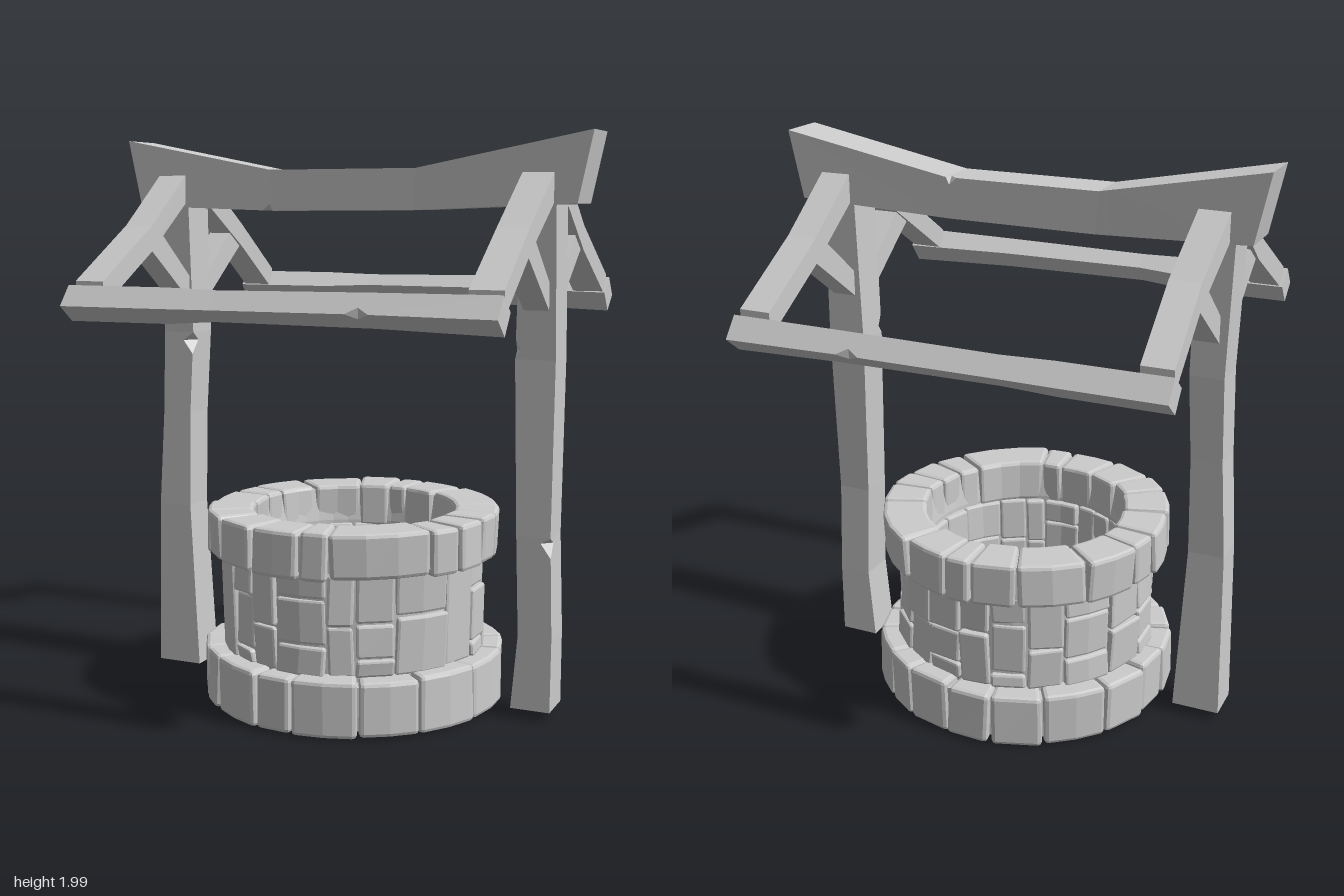
import * as THREE from 'three';

const material = new THREE.MeshStandardMaterial({ color: 0xcccccc, flatShading: true });
const DEG = Math.PI / 180;

let seed = 7;
const rand = () => (seed = (seed * 16807) % 2147483647) / 2147483647;
const jitter = (amount) => (rand() - 0.5) * 2 * amount;

function addMesh(parent, name, geometry) {
  const mesh = new THREE.Mesh(geometry, material);
  mesh.name = name;
  parent.add(mesh);
  return mesh;
}

// Rectangular timber lofted through sections [s, u0, u1, v0, v1];
// nicks [s, corner, depth, halfLength] chop notches out of its edges.
function beam(parent, name, sections, place, nicks = []) {
  const at = (s) => {
    let i = 0;
    while (i < sections.length - 2 && s > sections[i + 1][0]) i++;
    const a = sections[i], b = sections[i + 1], t = (s - a[0]) / (b[0] - a[0]);
    return a.map((v, k) => v + (b[k] - v) * t);
  };
  const stations = sections.map((r) => [r, -1, 0]);
  for (const [s, corner, depth, half] of nicks) {
    stations.push([at(s - half), -1, 0], [at(s), corner, depth], [at(s + half), -1, 0]);
  }
  stations.sort((a, b) => a[0][0] - b[0][0]);

  // Each corner is a pair of points that separate where a notch is cut
  const rings = stations.map(([[s, u0, u1, v0, v1], nick, depth]) => {
    const c = [[u0, v0], [u1, v0], [u1, v1], [u0, v1]];
    const ring = [];
    c.forEach((p, k) => {
      for (const q of [c[(k + 3) % 4], c[(k + 1) % 4]]) {
        const len = Math.hypot(q[0] - p[0], q[1] - p[1]);
        const f = k === nick ? depth / len : 0;
        ring.push(new THREE.Vector3(...place(s, p[0] + (q[0] - p[0]) * f, p[1] + (q[1] - p[1]) * f)));
      }
    });
    return ring;
  });

  const tris = [];
  const tri = (a, b, c) => {
    const area = b.clone().sub(a).cross(c.clone().sub(a)).length();
    if (area > 1e-8) tris.push([a, b, c]);
  };
  for (let i = 0; i < rings.length - 1; i++) {
    for (let k = 0; k < 8; k++) {
      const n = (k + 1) % 8, A = rings[i], B = rings[i + 1];
      tri(A[k], A[n], B[n]);
      tri(A[k], B[n], B[k]);
    }
  }
  const first = rings[0], last = rings[rings.length - 1];
  for (let k = 1; k < 7; k++) {
    tri(first[0], first[k + 1], first[k]);
    tri(last[0], last[k], last[k + 1]);
  }
  // Keep faces pointing outwards whatever the placement rule
  let volume = 0;
  for (const [a, b, c] of tris) volume += a.dot(b.clone().cross(c));
  const points = tris.flatMap(([a, b, c]) => (volume < 0 ? [a, c, b] : [a, b, c]));
  const geometry = new THREE.BufferGeometry().setFromPoints(points);
  geometry.computeVertexNormals();
  return addMesh(parent, name, geometry);
}

// Bevelled block bent around the well; angles in degrees from +z towards +x
function stone(parent, name, a0, a1, r0, r1, y0, y1, bevel) {
  const rm = (r0 + r1) / 2, mid = ((a0 + a1) / 2) * DEG, gap = 0.003;
  const half = [((a1 - a0) * DEG * rm) / 2 - gap, (y1 - y0) / 2 - gap, (r1 - r0) / 2];
  const segs = [Math.max(1, Math.round((a1 - a0) / 14)) + 2, 3, 3];
  const geometry = new THREE.BoxGeometry(1, 1, 1, ...segs);
  const pos = geometry.attributes.position;
  const twist = jitter(0.006), lean = jitter(0.005), skew = jitter(0.006);
  const v = new THREE.Vector3();
  for (let i = 0; i < pos.count; i++) {
    v.fromBufferAttribute(pos, i);
    const index = v.toArray().map((c, k) => Math.round((c + 0.5) * segs[k]));
    const out = new THREE.Vector3(...index.map((n, k) => (n === 0 ? -1 : n === segs[k] ? 1 : 0)));
    out.normalize().multiplyScalar(bevel);
    const inner = index.map((n, k) => {
      const t = (THREE.MathUtils.clamp(n, 1, segs[k] - 1) - 1) / (segs[k] - 2);
      return (half[k] - bevel) * (2 * t - 1);
    });
    v.set(...inner).add(out);
    const sx = v.x / half[0], sy = v.y / half[1];
    const r = rm + v.z + twist * sx + lean * sy;
    const angle = mid + (v.x + skew * sy * 0.5) / rm;
    pos.setXYZ(i, r * Math.sin(angle), (y0 + y1) / 2 + v.y, r * Math.cos(angle));
  }
  geometry.computeVertexNormals();
  addMesh(parent, name, geometry);
}

// Calls fn with the start and end of every arc between the joints of a ring
const eachArc = (joints, fn) =>
  joints.forEach((a, i) => fn(a, i + 1 < joints.length ? joints[i + 1] : joints[0] + 360, i));

function buildWell() {
  const well = new THREE.Group();
  well.name = 'stoneWell';

  const baseJoints = [-170, -150, -125, -105, -88, -70, -53, -40, -15, 0, 25, 48, 74, 101, 117, 138, 153, 172];
  eachArc(baseJoints, (a, b) =>
    stone(well, 'baseStone', a, b, 0.36 + jitter(0.006), 0.538 + jitter(0.007), 0.003 + rand() * 0.008, 0.205 + jitter(0.005), 0.014));

  // Wall columns, each split into courses of different heights
  const wallJoints = [-172, -156, -140, -118, -98, -80, -58, -37, -24, -11, 12, 24, 41, 66, 84, 100, 122, 140, 157, 174];
  const courses = [[0.37], [0.26, 0.38], [0.4], [], [0.25, 0.44], [0.35], [0.3, 0.46]];
  eachArc(wallJoints, (a, b, i) => {
    const levels = [0.195, ...courses[(i + 4) % courses.length], 0.55];
    for (let k = 0; k < levels.length - 1; k++) {
      stone(well, 'wallStone', a, b, 0.342 + jitter(0.008), 0.47 + jitter(0.008), levels[k], levels[k + 1], 0.009);
    }
  });

  const rimJoints = [-178, -160, -133, -110, -97, -75, -54, -39, -19, 2, 14, 54, 67, 82, 95, 112, 150, 171];
  eachArc(rimJoints, (a, b) =>
    stone(well, 'rimStone', a, b, 0.36 + jitter(0.006), 0.52 + jitter(0.007), 0.535 + jitter(0.005), 0.7 + jitter(0.004), 0.014));

  // Mortar behind the joints
  const profile = [[0.38, 0.03], [0.515, 0.03], [0.515, 0.18], [0.455, 0.18], [0.455, 0.56], [0.495, 0.56],
    [0.495, 0.68], [0.38, 0.68], [0.36, 0.56], [0.36, 0.18], [0.38, 0.18], [0.38, 0.03]];
  addMesh(well, 'mortar', new THREE.LatheGeometry(profile.map((p) => new THREE.Vector2(...p)), 40));
  return well;
}

function buildFrame() {
  const frame = new THREE.Group();
  frame.name = 'timberFrame';

  // Posts: sections run up y, u = x, v = z
  const upright = (y, x, z) => [x, y, z];
  beam(frame, 'leftPost', [
    [0.04, 0.62, 0.76, -0.07, 0.07], [0.3, 0.643, 0.762, -0.065, 0.07], [0.65, 0.632, 0.752, -0.057, 0.07],
    [1.25, 0.615, 0.755, -0.073, 0.06], [1.78, 0.63, 0.75, -0.073, 0.07],
  ], upright, [[0.63, 2, 0.035, 0.05], [1.28, 3, 0.02, 0.04]]);
  beam(frame, 'rightPost', [
    [0.04, -0.778, -0.608, -0.07, 0.07], [0.65, -0.765, -0.637, -0.057, 0.07], [1.0, -0.745, -0.633, -0.065, 0.065],
    [1.3, -0.738, -0.618, -0.073, 0.06], [1.78, -0.752, -0.625, -0.073, 0.07],
  ], upright, [[1.27, 2, 0.04, 0.05]]);

  // Ridge beam: sections run along x, u = y, v = z, with splayed ends
  beam(frame, 'ridgeBeam', [
    [-0.838, 1.76, 1.995, -0.093, 0.082], [-0.29, 1.742, 1.885, -0.085, 0.075],
    [0.26, 1.744, 1.885, -0.085, 0.075], [0.848, 1.765, 2.0, -0.088, 0.085],
  ], (x, y, z) => [x * (1 + 0.25 * (y - 1.88)), y, z],
  [[-0.3, 3, 0.025, 0.03], [0.25, 1, 0.025, 0.03]]);

  for (const side of [1, -1]) {
    // Eaves beam, turned to the pitch of the roof
    beam(frame, side > 0 ? 'frontEave' : 'backEave', [
      [-0.752, -0.043, 0.043, -0.043, 0.043], [-0.38, -0.043, 0.042, -0.043, 0.042], [-0.2, -0.038, 0.04, -0.025, 0.04],
      [0.35, -0.042, 0.04, -0.032, 0.042], [0.758, -0.043, 0.046, -0.045, 0.043],
    ], (x, u, v) => [x, 1.4375 - 0.78 * u + 0.62 * v, side * (0.64 + 0.62 * u + 0.78 * v)],
    [[0.31, 2, 0.025, 0.04]]);

    // Rafters and braces: sections run outwards along z, u = y, v = x
    const outward = (z, y, x) => [x, y, side * z];
    const rafterX = { right: [-0.737, -0.63, -0.724, -0.618, -0.742, -0.635], left: [0.637, 0.745, 0.632, 0.74, 0.64, 0.752] };
    for (const [hand, x] of Object.entries(rafterX)) {
      beam(frame, hand + 'Rafter', [
        [0.02, 1.805, 1.885, x[0], x[1]], [0.07, 1.775, 1.875, x[0], x[1]],
        [0.33, 1.605, 1.692, x[2], x[3]], [0.62, 1.425, 1.51, x[4], x[5]],
      ], outward);
      beam(frame, hand + 'Brace', [
        [0.04, 1.398, 1.487, x[2] + 0.01, x[3] - 0.01], [0.25, 1.552, 1.66, x[2] + 0.01, x[3] - 0.01],
        [0.33, 1.61, 1.665, x[2] + 0.01, x[3] - 0.01],
      ], outward);
    }
  }
  return frame;
}

export function createModel() {
  seed = 7;
  const model = new THREE.Group();
  model.name = 'well';
  model.add(buildWell(), buildFrame());
  return model;
}
